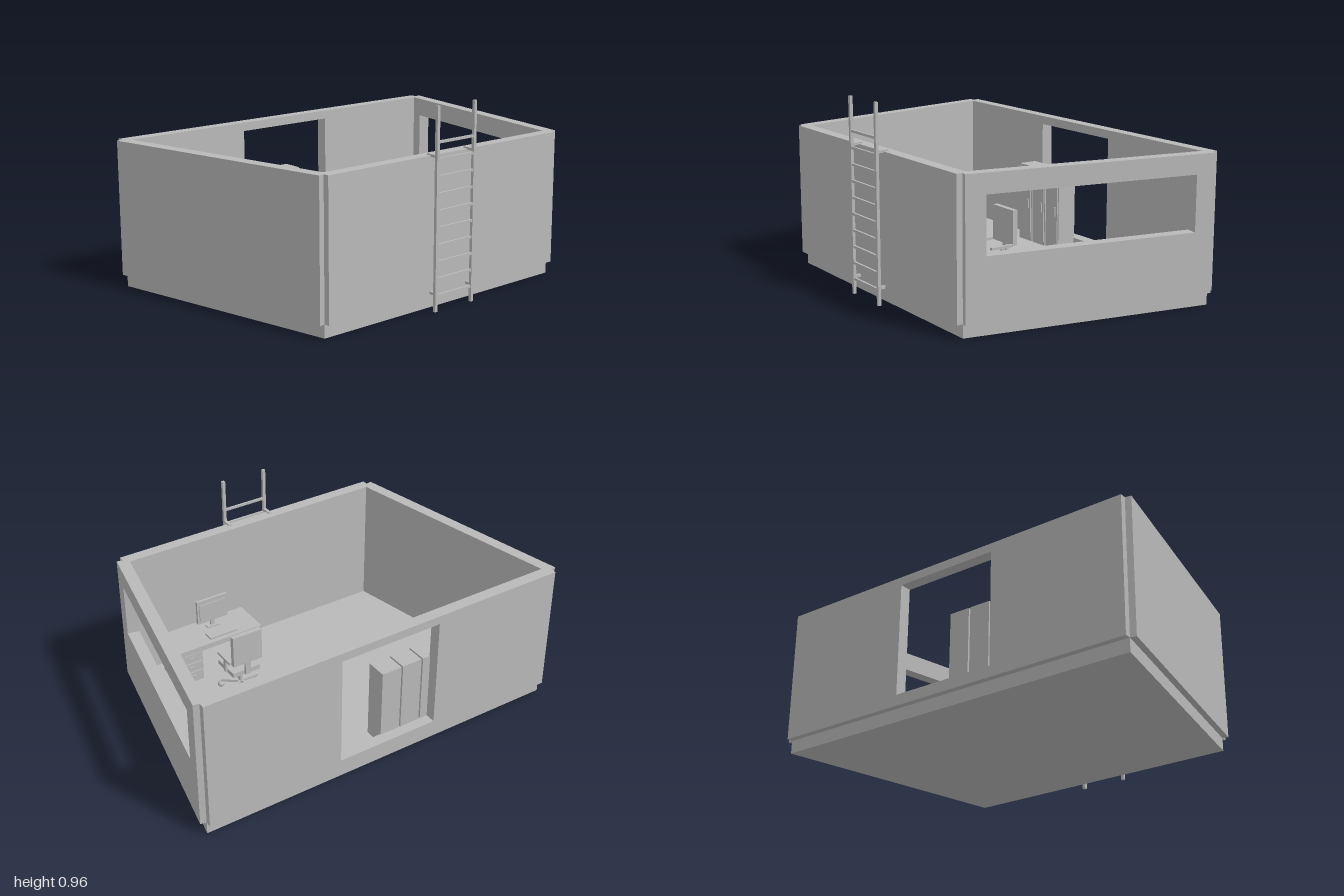
import * as THREE from 'three';

export function createModel() {
  const root = new THREE.Group();
  const grey = new THREE.MeshStandardMaterial({ color: 0xb8b8b8 });
  grey.name = 'plain grey';

  function add(parent, name, geometry) {
    const mesh = new THREE.Mesh(geometry, grey);
    mesh.name = name;
    parent.add(mesh);
    return mesh;
  }
  // Box given by its limits on each axis
  function box(parent, name, x0, x1, y0, y1, z0, z1) {
    const mesh = add(parent, name, new THREE.BoxGeometry(x1 - x0, y1 - y0, z1 - z0));
    mesh.position.set((x0 + x1) / 2, (y0 + y1) / 2, (z0 + z1) / 2);
    return mesh;
  }
  function group(name) {
    const g = new THREE.Group();
    g.name = name;
    root.add(g);
    return g;
  }

  // Floor slab: trapezium, wider at the back
  const FLOOR = 0.065, TOP = 0.73, T = 0.06;
  const corners = [[-0.73, 0.585], [0.73, 0.585], [0.97, -0.625], [-0.97, -0.625]];
  const slab = new THREE.Shape(corners.map(([x, z]) => new THREE.Vector2(x, -z)));
  add(root, 'floorSlab', new THREE.ExtrudeGeometry(slab, { depth: FLOOR, bevelEnabled: false })
    .rotateX(-Math.PI / 2));

  // Walls centred on the slab edges, with an optional opening [half width, bottom, top]
  function rect(Type, w, y0, y1) {
    return new Type([[-w, y0], [w, y0], [w, y1], [-w, y1]].map(p => new THREE.Vector2(...p)));
  }
  function wall(name, a, b, opening) {
    const dx = b[0] - a[0], dz = b[1] - a[1];
    const shape = rect(THREE.Shape, Math.hypot(dx, dz) / 2, FLOOR, TOP);
    if (opening) shape.holes.push(rect(THREE.Path, ...opening));
    const geometry = new THREE.ExtrudeGeometry(shape, { depth: T, bevelEnabled: false });
    const mesh = add(root, name, geometry.translate(0, 0, -T / 2));
    mesh.position.set((a[0] + b[0]) / 2, 0, (a[1] + b[1]) / 2);
    mesh.rotation.y = Math.atan2(-dz, dx);
  }
  wall('frontWall', corners[0], corners[1]);
  wall('windowWall', corners[1], corners[2], [0.52, 0.365, 0.635]);
  wall('doorwayWall', corners[2], corners[3], [0.27, 0.12, 0.687]);
  wall('plainSideWall', corners[3], corners[0]);

  // Ladder on the front wall
  const ladder = group('ladder');
  for (const s of [-1, 1]) {
    const x = s * 0.118;
    box(ladder, 'ladderRail', x - 0.008, x + 0.008, 0, 0.96, 0.64, 0.655);
    box(ladder, 'topBracket', x - 0.008, x + 0.008, 0.724, 0.737, 0.59, 0.642);
    box(ladder, 'lowerBracket', x - 0.008, x + 0.008, 0.079, 0.092, 0.61, 0.642);
  }
  for (let i = 0; i < 10; i++) {
    const y = 0.075 + i * 0.08;
    box(ladder, 'rung', -0.112, 0.112, y - 0.006, y + 0.006, 0.642, 0.653);
  }

  // Three lockers against the back wall
  const lockers = group('lockers');
  for (let i = 0; i < 3; i++) {
    const x = -0.336 + i * 0.1165;
    box(lockers, 'lockerBody', x, x + 0.108, FLOOR, 0.475, -0.6, -0.495);
    box(lockers, 'lockerDoor', x + 0.007, x + 0.101, FLOOR + 0.02, 0.462, -0.496, -0.489);
    for (let j = 0; j < 3; j++) {
      const y = 0.392 + j * 0.015;
      box(lockers, 'vent', x + 0.028, x + 0.08, y, y + 0.007, -0.49, -0.485);
    }
    box(lockers, 'handle', x + 0.078, x + 0.091, 0.245, 0.295, -0.49, -0.482);
  }

  // Desk with a drawer pedestal and a side support
  const desk = group('desk');
  box(desk, 'deskTop', 0.115, 0.605, 0.247, 0.275, 0.31, 0.515);
  box(desk, 'drawerPedestal', 0.455, 0.59, FLOOR, 0.248, 0.325, 0.5);
  for (let i = 0; i < 3; i++) {
    const y = 0.08 + i * 0.055;
    box(desk, 'drawerFront', 0.463, 0.582, y, y + 0.048, 0.319, 0.326);
    box(desk, 'drawerHandle', 0.505, 0.54, y + 0.022, y + 0.03, 0.314, 0.32);
  }
  box(desk, 'deskSupport', 0.135, 0.175, FLOOR, 0.248, 0.33, 0.5);
  box(desk, 'modestyPanel', 0.17, 0.46, 0.13, 0.248, 0.475, 0.49);

  // Keyboard and monitor
  const computer = group('computer');
  box(computer, 'keyboard', 0.243, 0.4, 0.275, 0.285, 0.335, 0.39);
  box(computer, 'monitorFoot', 0.29, 0.36, 0.275, 0.282, 0.432, 0.462);
  box(computer, 'monitorNeck', 0.315, 0.335, 0.28, 0.33, 0.444, 0.456);
  box(computer, 'monitorCase', 0.238, 0.412, 0.312, 0.445, 0.441, 0.455);
  box(computer, 'screen', 0.25, 0.4, 0.33, 0.422, 0.436, 0.442);

  // Swivel chair facing the desk, on a five-armed base
  const chair = group('chair');
  const cx = 0.335, cz = 0.155;
  box(chair, 'seat', 0.26, 0.415, 0.195, 0.22, 0.085, 0.235);
  box(chair, 'backrest', 0.255, 0.417, 0.27, 0.44, 0.07, 0.095);
  box(chair, 'backSupport', 0.32, 0.35, 0.2, 0.28, 0.072, 0.086);
  for (const s of [-1, 1]) {
    const x = cx + s * 0.083;
    box(chair, 'armrest', x - 0.008, x + 0.008, 0.268, 0.28, 0.1, 0.22);
    box(chair, 'armPost', x - 0.006, x + 0.006, 0.2, 0.27, 0.145, 0.165);
  }
  add(chair, 'centrePost', new THREE.CylinderGeometry(0.01, 0.01, 0.1, 16)).position.set(cx, 0.148, cz);
  for (let i = 0; i < 5; i++) {
    const arm = new THREE.Group();
    arm.name = 'baseArm';
    arm.position.set(cx, 0, cz);
    arm.rotation.y = Math.PI + i * Math.PI * 0.4;
    box(arm, 'spoke', 0, 0.1, 0.1, 0.113, -0.007, 0.007);
    add(arm, 'caster', new THREE.SphereGeometry(0.017, 16, 10)).position.set(0.1, 0.083, 0);
    chair.add(arm);
  }
  return root;
}
